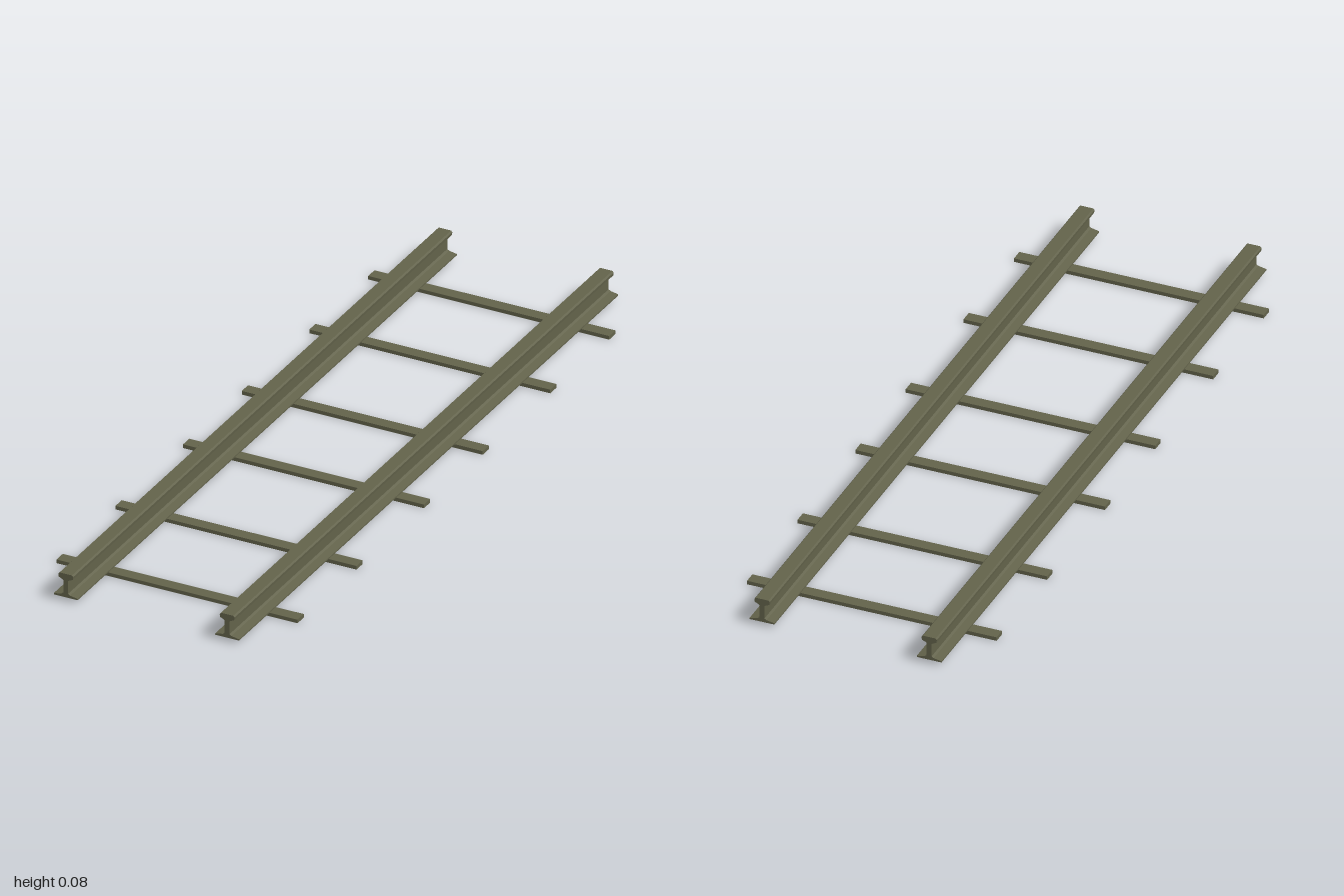
import * as THREE from 'three';

const steel = new THREE.MeshStandardMaterial({ color: 0x62624a, flatShading: true });

// Half of the rail section, from the foot up to the crown: [x, y]
const halfSection = [
  [0.033, 0.01], [0.033, 0.0135], [0.012, 0.0175], [0.0065, 0.021],
  [0.0065, 0.056], [0.009, 0.0585], [0.0195, 0.063], [0.0205, 0.071], [0.017, 0.075],
];

function makeRail(x, name) {
  const mirrored = halfSection.map(([px, py]) => [-px, py]).reverse();
  const points = [...halfSection, ...mirrored].map(([px, py]) => new THREE.Vector2(px, py));
  const geometry = new THREE.ExtrudeGeometry(new THREE.Shape(points), { depth: 2, bevelEnabled: false });
  const rail = new THREE.Mesh(geometry, steel);
  rail.position.set(x, 0, -1);
  rail.name = name;
  return rail;
}

export function createModel() {
  const track = new THREE.Group();
  track.name = 'railTrack';

  // Two parallel rails
  track.add(makeRail(0.223, 'leftRail'), makeRail(-0.223, 'rightRail'));

  // Thin flat crossties, in unevenly spaced mirrored pairs
  const tieGeometry = new THREE.BoxGeometry(0.666, 0.01, 0.033);
  for (const z of [0.155, 0.511, 0.822]) {
    for (const side of [1, -1]) {
      const tie = new THREE.Mesh(tieGeometry, steel);
      tie.position.set(0, 0.005, side * z);
      tie.name = 'crosstie';
      track.add(tie);
    }
  }
  return track;
}
